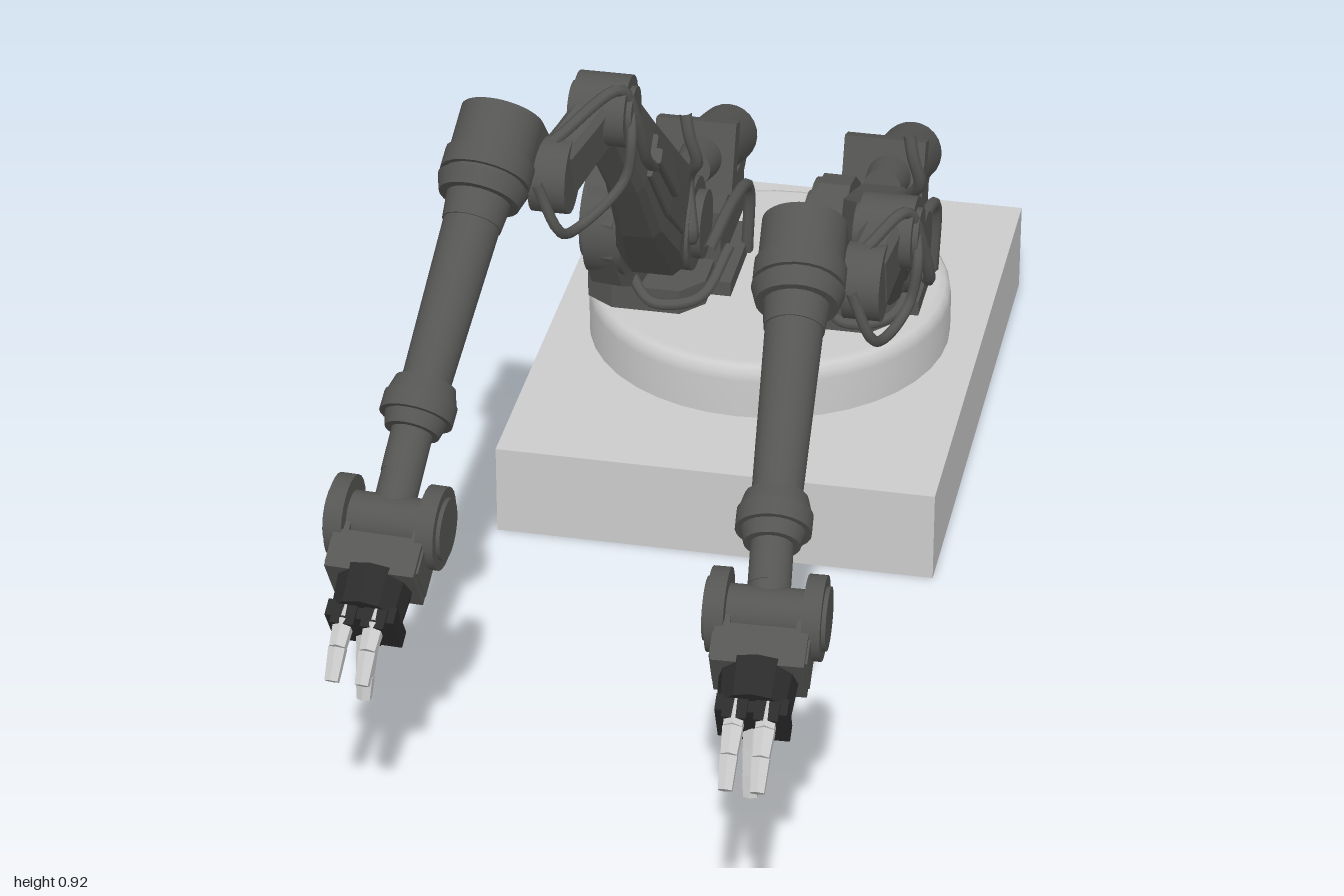
import * as THREE from 'three';

const mat = (color, flat = false) => new THREE.MeshStandardMaterial({ color, flatShading: flat });
const grey = mat(0xcccccc), steel = mat(0x555553), steelFlat = mat(0x555553, true);
const rubber = mat(0x2b2b2b, true), pale = mat(0xcccccc, true);
const V = (p) => new THREE.Vector3(...p);

function add(parent, name, geo, material, pos = [0, 0, 0]) {
  const m = new THREE.Mesh(geo, material);
  m.name = name;
  m.position.set(...pos);
  parent.add(m);
  return m;
}
const box = (parent, name, size, pos, material = steelFlat) =>
  add(parent, name, new THREE.BoxGeometry(...size), material, pos);

// Round bar from a to b
function rod(parent, name, a, b, r1, r2 = r1, material = steel, sides = 24) {
  const p = V(a), q = V(b), d = q.clone().sub(p);
  const m = add(parent, name, new THREE.CylinderGeometry(r2, r1, d.length(), sides), material);
  m.position.copy(p.add(q).multiplyScalar(0.5));
  m.quaternion.setFromUnitVectors(new THREE.Vector3(0, 1, 0), d.normalize());
  return m;
}

// Disc with its axis along x
const disc = (parent, name, [x, y, z], r, t) => rod(parent, name, [x - t / 2, y, z], [x + t / 2, y, z], r);

function cable(parent, name, pts, r = 0.008) {
  const curve = new THREE.CatmullRomCurve3(pts.map(V));
  add(parent, name, new THREE.TubeGeometry(curve, 28, r, 7), steel);
}

// Chamfered beam through sections [x, y, z, halfWidth, halfHeight]
function loft(parent, name, secs) {
  const rings = secs.map(([x, y, z, w, h], k) => {
    const a = secs[Math.max(0, k - 1)], b = secs[Math.min(secs.length - 1, k + 1)];
    const t = new THREE.Vector2(b[2] - a[2], b[1] - a[1]).normalize(), c = Math.min(w, h) * 0.35;
    return [[w, c - h], [w, h - c], [w - c, h], [c - w, h], [-w, h - c], [-w, c - h], [c - w, -h], [w - c, -h]]
      .map(([u, n]) => [x + u, y + n * t.x, z - n * t.y]);
  });
  const out = [], n = 8, last = rings.length - 1;
  const tri = (...ps) => ps.forEach((p) => out.push(...p));
  for (let k = 0; k < last; k++) for (let i = 0; i < n; i++) {
    const j = (i + 1) % n, A = rings[k], B = rings[k + 1];
    tri(A[i], A[j], B[j]);
    tri(A[i], B[j], B[i]);
  }
  for (let i = 1; i < n - 1; i++) {
    tri(rings[0][0], rings[0][i + 1], rings[0][i]);
    tri(rings[last][0], rings[last][i], rings[last][i + 1]);
  }
  const g = new THREE.BufferGeometry();
  g.setAttribute('position', new THREE.Float32BufferAttribute(out, 3));
  g.computeVertexNormals();
  return add(parent, name, g, steelFlat);
}

// Group at a point with its local z along a direction
function aimed(parent, name, pos, dir) {
  const g = new THREE.Group();
  g.name = name;
  g.position.set(...pos);
  g.lookAt(g.position.clone().add(dir));
  parent.add(g);
  return g;
}

// Foot, side bracket and drive motor
function buildMount(arm, o) {
  const g = new THREE.Group();
  g.name = 'mount';
  g.position.x = o.baseX;
  arm.add(g);
  const foot = new THREE.Shape([[-0.245, 0.42], [-0.2, 0.39], [-0.09, 0.39], [-0.055, 0.43], [-0.055, 0.69], [-0.24, 0.69]]
    .map(([x, y]) => new THREE.Vector2(x, y)));
  const footGeo = new THREE.ExtrudeGeometry(foot, { depth: 0.042, bevelEnabled: false }).rotateX(-Math.PI / 2);
  add(g, 'foot', footGeo, steelFlat, [0, 0.242, 0]);
  box(g, 'footStep', [0.12, 0.025, 0.2], [-0.08, 0.255, -0.56]);
  rod(g, 'motor', [-0.08, 0.385, -0.735], [-0.08, 0.455, -0.54], 0.05);
  rod(g, 'motorCap', [-0.08, 0.378, -0.755], [-0.08, 0.385, -0.735], 0.042, 0.05);
  const flange = box(g, 'motorFlange', [0.13, 0.115, 0.035], [-0.09, 0.46, -0.525]);
  flange.rotation.x = -0.34;
  rod(g, 'gearbox', [-0.08, 0.46, -0.52], [-0.08, 0.48, -0.44], 0.036, 0.03);
  disc(g, 'rearPivot', [-0.1, 0.37, -0.715], 0.045, 0.1);
  box(g, 'motorCradle', [0.09, 0.1, 0.2], [-0.09, 0.32, -0.6]);
  cable(g, 'footCable', [[-0.17, 0.31, -0.39], [-0.12, 0.295, -0.33], [-0.05, 0.3, -0.35], [-0.02, 0.34, -0.45]], 0.009);
  cable(g, 'sideHose', [[-0.02, 0.25, -0.6], [-0.015, 0.38, -0.58], [-0.02, 0.41, -0.47], [-0.03, 0.4, -0.33]], 0.01);

  // Bracket outline in z and y
  const side = [[-0.69, 0.28], [-0.75, 0.33], [-0.74, 0.4], [-0.69, 0.4], [-0.6, 0.35], [-0.51, 0.38], [-0.45, 0.48],
    [-0.4, 0.52], [-0.35, 0.53], [-0.3, 0.51], [-0.27, 0.46], [-0.27, 0.4], [-0.31, 0.33], [-0.4, 0.28]];
  const [sx, sy, sz] = o.shoulder;
  const shape = new THREE.Shape(side.map(([z, y]) => new THREE.Vector2(z - sz, y - sy)));
  const geo = new THREE.ExtrudeGeometry(shape, { depth: 0.05, bevelEnabled: false }).rotateY(-Math.PI / 2);
  add(arm, 'bracket', geo, steelFlat, [sx + 0.025, sy, sz]).rotation.y = o.yaw;
  disc(arm, 'shoulderDisc', [sx - 0.005, sy, sz], 0.092, 0.06);
  disc(arm, 'shoulderCap', [sx - 0.03, sy, sz], 0.07, 0.03);
  disc(arm, 'shoulderDrive', [sx + 0.08, sy, sz], 0.075, 0.1);
  disc(arm, 'shoulderDriveCap', [sx + 0.115, sy, sz], 0.055, 0.06);
}

// Gripper with two fingers above and one thumb below
function buildHand(arm, o) {
  const g = aimed(arm, 'hand', o.hand, V(o.handDir));
  for (const s of [-1, 1]) {
    disc(g, 'wristDisc', [s * 0.067, 0, 0], 0.06, 0.026);
    disc(g, 'wristDiscCap', [s * 0.08, 0, 0], 0.045, 0.012);
    box(g, 'forkPlate', [0.022, 0.07, 0.1], [s * 0.057, -0.005, 0.04]);
  }
  disc(g, 'wristAxle', [0, 0, 0], 0.038, 0.13);
  box(g, 'handBody', [0.13, 0.085, 0.06], [0, -0.005, 0.07]);
  rod(g, 'palm', [0, -0.01, 0.09], [0, -0.01, 0.15], 0.056, 0.052, rubber, 12);
  box(g, 'palmFront', [0.1, 0.075, 0.025], [0, -0.015, 0.155], rubber);
  const digit = (name, pts, r) => pts.slice(1).forEach((p, i) => {
    rod(g, name, pts[i], p, r - i * 0.002, r - i * 0.002 - 0.003, pale, 6);
  });
  for (const x of [-0.022, 0.022]) {
    const L = o.fingerLength;
    digit('finger', [[x, 0.01, 0.145], [x, 0.014, L - 0.085], [x, 0.01, L - 0.045], [x, -0.005, L]], 0.018);
    box(g, 'fingerKnuckle', [0.034, 0.034, 0.03], [x, 0.01, 0.165], rubber);
  }
  digit('thumb', [[0, -0.03, 0.15], [0, -0.058, 0.178], [0, -0.083, 0.205], [0, -0.107, 0.228]], 0.018);
  box(g, 'thumbKnuckle', [0.036, 0.034, 0.035], [0, -0.04, 0.15], rubber);
}

function buildArm(name, o) {
  const arm = new THREE.Group();
  arm.name = name;
  buildMount(arm, o);
  const [sx, sy, sz] = o.shoulder, [ex, ey, ez] = o.elbow;

  // Lower link, sagging a little between shoulder and elbow
  const at = (t, x, sag, w, h) => [x, sy + (ey - sy) * t - sag, sz + (ez - sz) * t + sag, w, h];
  const [x1, x2, x3] = o.linkX;
  const mid = [at(0.2, x1, 0.008, 0.05, 0.085), at(0.45, x2, 0.016, 0.036, 0.08), at(0.72, x3, 0.012, 0.03, 0.062)];
  loft(arm, 'lowerLink', [at(-0.08, sx + 0.07, 0, 0.045, 0.07), at(0, sx + 0.07, 0, 0.05, 0.088), ...mid,
    at(1, ex, 0, 0.032, 0.048)]);
  const panel = (s, h, off) => [s[0] + s[3] + off, s[1], s[2], 0.008, h];
  loft(arm, 'linkPanel', [panel(mid[0], 0.04, -0.004), panel(mid[1], 0.042, 0), panel(mid[2], 0.034, 0)]);
  loft(arm, 'linkRail', [panel(mid[1], 0.012, 0.01), panel(mid[2], 0.012, 0.01)]);

  // Elbow joint and crank to the forearm housing
  const [cx, cy, cz] = o.crank;
  disc(arm, 'elbowDisc', o.elbow, 0.054, 0.08);
  disc(arm, 'elbowCap', o.elbow, 0.038, 0.096);
  loft(arm, 'elbowCrank', [[ex, ey, ez, 0.03, 0.045], [(ex + cx) / 2, (ey + cy) / 2, (ez + cz) / 2, 0.03, 0.045],
    [cx, cy, cz, 0.03, 0.05]]);
  disc(arm, 'crankDisc', o.crank, 0.056, 0.055);

  // Forearm housing with rounded top, flanges and tube
  const axis = V(o.wrist).sub(V(o.flange)), len = axis.length();
  const fore = aimed(arm, 'forearm', o.flange, axis.clone().normalize());
  const d = new THREE.Shape();
  d.moveTo(-0.062, -0.06);
  d.lineTo(-0.045, -0.08);
  d.lineTo(0.045, -0.08);
  d.lineTo(0.062, -0.06);
  d.lineTo(0.062, 0);
  d.absarc(0, 0, 0.062, 0, Math.PI, false);
  const dGeo = new THREE.ExtrudeGeometry(d, { depth: 0.07, bevelEnabled: false, curveSegments: 16 });
  add(fore, 'forearmHousing', dGeo, steel, [0, 0, -0.09]);
  const tiers = [[-0.02, 0.012, 0.067, 0.067], [0.012, 0.02, 0.06, 0.06], [0.02, 0.045, 0.068, 0.06],
    [0.045, 0.085, 0.048, 0.044], [0.085, len - 0.05, 0.042, 0.036], [len - 0.05, len - 0.025, 0.045, 0.052],
    [len - 0.025, len + 0.004, 0.054, 0.054], [len + 0.004, len + 0.025, 0.046, 0.04], [len + 0.025, len + 0.09, 0.03, 0.028]];
  tiers.forEach(([a, b, r1, r2]) => rod(fore, 'forearmTube', [0, 0, a], [0, 0, b], r1, r2));
  rod(arm, 'wristNeck', o.wrist, o.hand, 0.03);
  buildHand(arm, o);

  // Loose cables at shoulder and elbow
  const kx = sx + 0.135;
  cable(arm, 'shoulderCable', [[kx - 0.03, 0.4, -0.4], [kx, 0.44, -0.3], [kx - 0.015, 0.52, -0.34], [kx + 0.005, 0.57, -0.31],
    [kx - 0.005, 0.62, -0.3], [kx - 0.012, 0.655, -0.305]], 0.01);
  cable(arm, 'elbowCable', [[ex + 0.03, ey + 0.03, ez - 0.03], [ex + 0.05, ey - 0.02, ez + 0.04], [ex + 0.04, ey - 0.09, ez + 0.05],
    [cx + 0.035, cy - 0.085, cz], [cx + 0.02, cy - 0.06, cz + 0.06], [cx - 0.01, cy + 0.02, cz + 0.07]]);
  cable(arm, 'linkCable', [[mid[2][0] + 0.035, mid[2][1] - 0.02, mid[2][2]], [ex + 0.055, ey - 0.1, ez - 0.04],
    [ex + 0.05, ey - 0.02, ez], [ex + 0.03, ey + 0.05, ez + 0.03], [cx, cy + 0.055, cz]], 0.009);
  return arm;
}

export function createModel() {
  const model = new THREE.Group();
  model.name = 'twinArmRobot';
  box(model, 'basePlinth', [0.695, 0.15, 0.92], [0.028, 0.075, -0.54], grey);

  // Turntable with a softened rim
  const rim = [[0, 0.15], [0.293, 0.15], [0.293, 0.15], [0.293, 0.215], [0.291, 0.228], [0.284, 0.238], [0.272, 0.242], [0, 0.242]];
  add(model, 'turntable', new THREE.LatheGeometry(rim.map(([x, y]) => new THREE.Vector2(x, y)), 40), grey, [0.029, 0, -0.543]);

  model.add(buildArm('rightArm', {
    baseX: 0, yaw: -0.13, shoulder: [-0.185, 0.43, -0.36], elbow: [-0.115, 0.838, 0.035], linkX: [-0.107, -0.097, -0.097],
    crank: [-0.165, 0.785, 0.15], flange: [-0.25, 0.815, 0.215], wrist: [-0.285, 0.58, 0.52],
    hand: [-0.295, 0.48, 0.645], handDir: [-0.04, -0.5, 0.87], fingerLength: 0.255,
  }));
  model.add(buildArm('leftArm', {
    baseX: 0.305, yaw: 0, shoulder: [0.165, 0.43, -0.36], elbow: [0.325, 0.727, 0.115], linkX: [0.24, 0.275, 0.305],
    crank: [0.31, 0.7, 0.22], flange: [0.225, 0.735, 0.29], wrist: [0.255, 0.535, 0.64],
    hand: [0.268, 0.468, 0.75], handDir: [0.04, -0.45, 0.89], fingerLength: 0.275,
  }));
  return model;
}
